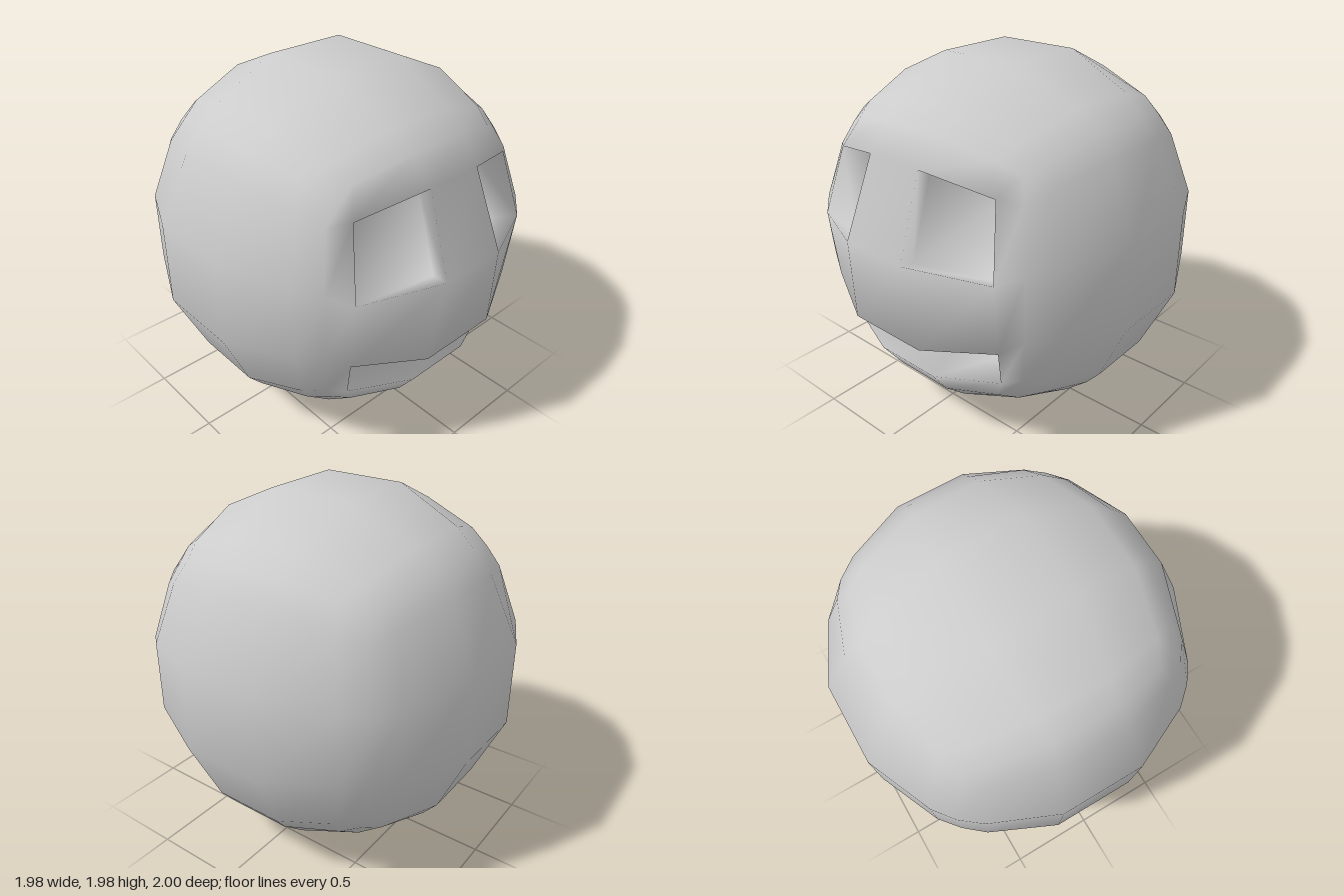
import * as THREE from 'three';
import { mergeVertices } from 'three/addons/utils/BufferGeometryUtils.js';

const V = (x, y, z) => new THREE.Vector3(x, y, z);
const RADIUS = 1.045;
const CENTRE = V(0, 0.99, -0.01);
const GRID = [-1, -0.744, -0.244, 0.244, 0.744, 1];

// Face landmarks on the +x half, bottom row to top row: [outer, inner]
const FACE = [
  [V(0.58, 0.5, 0.72), V(0.2, 0.42, 0.833)],    // lower lip
  [V(0.61, 0.72, 0.775), V(0.24, 0.67, 0.955)], // upper lip
  [V(0.62, 1.12, 0.815), V(0.2, 1.15, 1.0)],    // cheeks
  [V(0.55, 1.5, 0.717), V(0.17, 1.58, 0.833)],  // brows
];

// Point of the front patch: landmarks inside, sphere on its border
function facePoint(i, j) {
  const p = FACE[j - 1][i === 1 || i === 4 ? 0 : 1].clone();
  if (i < 3) p.x *= -1;
  return p;
}

export function createModel() {
  const positions = [];
  const ranges = [];
  const quad = (a, b, c, d) => {
    for (const p of [a, b, c, a, c, d]) positions.push(p.x, p.y, p.z);
  };
  // Records which triangles belong to a named part
  const part = (name, build) => {
    const start = positions.length / 3;
    build();
    ranges.push([name, start, positions.length / 3]);
  };

  // Ball made of six curved patches; the front one leaves eye and mouth openings
  part('head', () => {
    const X = V(1, 0, 0), Y = V(0, 1, 0), Z = V(0, 0, 1);
    const neg = (v) => v.clone().negate();
    const sides = [[X, Y, Z], [neg(X), Y, neg(Z)], [neg(Z), Y, X],
      [Z, Y, neg(X)], [X, neg(Z), Y], [X, Z, neg(Y)]];
    sides.forEach(([u, v, n], side) => {
      const at = (i, j) => {
        if (side === 0 && i > 0 && i < 5 && j > 0 && j < 5) return facePoint(i, j);
        return n.clone().addScaledVector(u, GRID[i]).addScaledVector(v, GRID[j])
          .setLength(RADIUS).add(CENTRE);
      };
      for (let j = 0; j < 5; j++) {
        for (let i = 0; i < 5; i++) {
          const mouth = j === 1 && i > 0 && i < 4;
          const eye = j === 3 && (i === 1 || i === 3);
          if (side === 0 && (mouth || eye)) continue;
          quad(at(i, j), at(i + 1, j), at(i + 1, j + 1), at(i, j + 1));
        }
      }
    });
  });

  // Recess under columns i0..i1 of a row: side walls and a sunken floor
  const recess = (i0, i1, j, shift) => {
    const rim = [];
    for (let i = i0; i <= i1; i++) rim.push([i, j]);
    for (let i = i1; i >= i0; i--) rim.push([i, j + 1]);
    const sunk = (i, k) => facePoint(i, k).add(shift(i));
    rim.forEach((p, k) => {
      const q = rim[(k + 1) % rim.length];
      quad(facePoint(...p), facePoint(...q), sunk(...q), sunk(...p));
    });
    for (let i = i0; i < i1; i++) {
      quad(sunk(i, j), sunk(i + 1, j), sunk(i + 1, j + 1), sunk(i, j + 1));
    }
  };
  part('rightEyeSocket', () => recess(1, 2, 3, () => V(0.062, -0.058, -0.135)));
  part('leftEyeSocket', () => recess(3, 4, 3, () => V(-0.062, -0.058, -0.135)));
  part('mouth', () => recess(1, 4, 1, (i) =>
    i === 1 ? V(0.085, 0.06, -0.12) : i === 4 ? V(-0.085, 0.06, -0.12) : V(0, 0.07, -0.145)));

  // Weld everything so the smooth shading runs across the parts
  let skin = new THREE.BufferGeometry();
  skin.setAttribute('position', new THREE.Float32BufferAttribute(positions, 3));
  skin = mergeVertices(skin, 1e-4);
  skin.computeVertexNormals();
  const index = Array.from(skin.index.array);

  const group = new THREE.Group();
  group.name = 'smilingHead';
  const material = new THREE.MeshStandardMaterial({ color: 0xcccccc });
  for (const [name, start, end] of ranges) {
    const piece = skin.clone();
    piece.setIndex(index.slice(start, end));
    const mesh = new THREE.Mesh(piece.toNonIndexed(), material);
    mesh.name = name;
    group.add(mesh);
  }
  return group;
}
